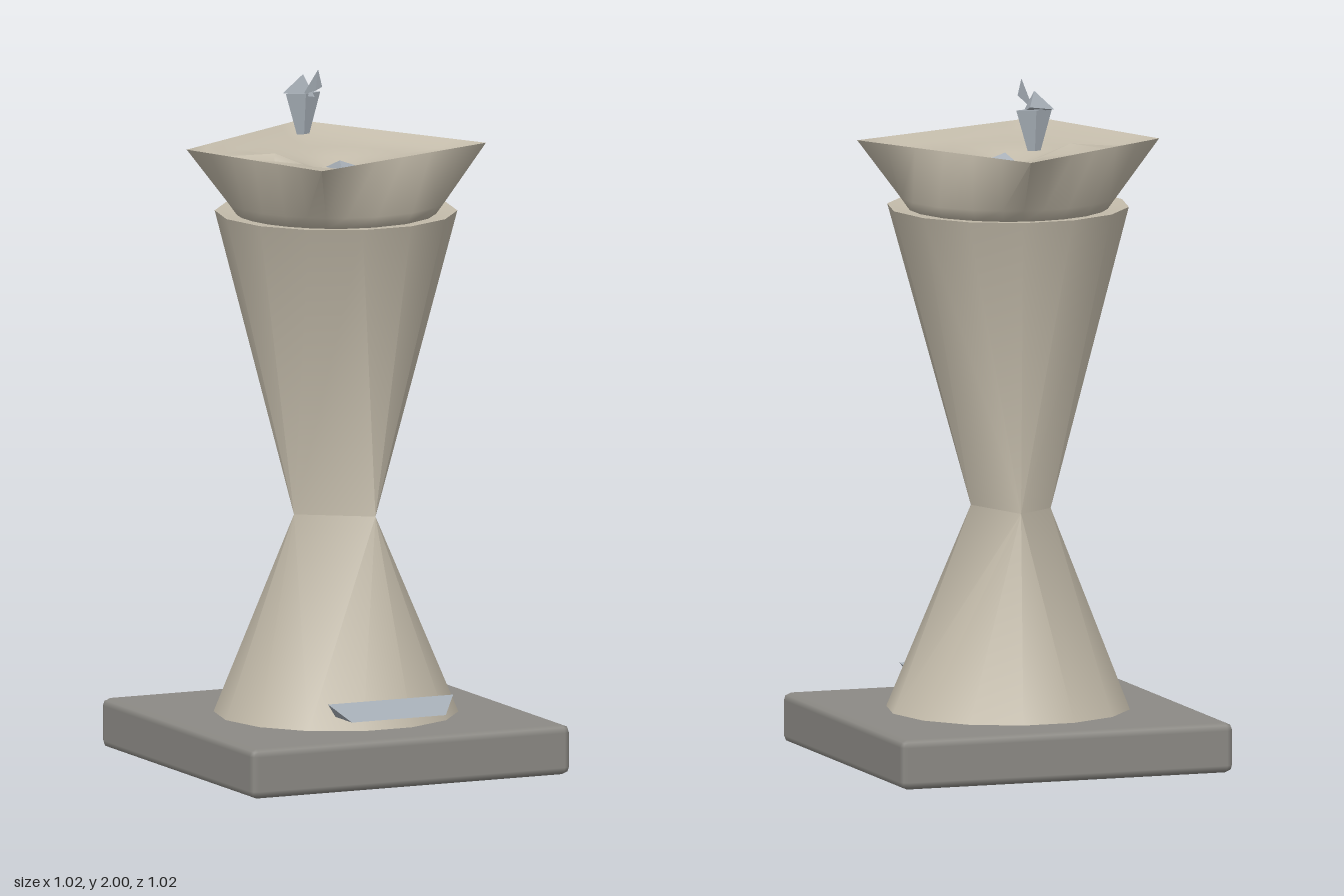
import * as THREE from 'three';
import { toCreasedNormals } from 'three/addons/utils/BufferGeometryUtils.js';
import { RoundedBoxGeometry } from 'three/addons/geometries/RoundedBoxGeometry.js';

const material = (color) => new THREE.MeshStandardMaterial({ color, side: THREE.DoubleSide });
const stone = material(0xc4bcab);
const slab = material(0x8c8a85);
const metal = material(0xa4acb4);
const v = (x, y, z) => new THREE.Vector3(x, y, z);

// Skin a stack of closed cross-sections, skipping collapsed triangles
function loft(rings, crease) {
  const n = rings[0].length;
  const pos = [];
  const tri = (a, b, c) => {
    const area = b.clone().sub(a).cross(c.clone().sub(a)).length();
    if (area > 1e-7) for (const p of [a, b, c]) pos.push(p.x, p.y, p.z);
  };
  for (let r = 0; r < rings.length - 1; r++) {
    for (let i = 0; i < n; i++) {
      const j = (i + 1) % n;
      const [a, b] = [rings[r], rings[r + 1]];
      tri(a[i], b[i], a[j]);
      tri(a[j], b[i], b[j]);
    }
  }
  const geo = new THREE.BufferGeometry();
  geo.setAttribute('position', new THREE.Float32BufferAttribute(pos, 3));
  return toCreasedNormals(geo, crease);
}

// Flat-faced solid or shard from corner points and faces
function shard(points, faces) {
  const geo = new THREE.BufferGeometry();
  geo.setAttribute('position', new THREE.Float32BufferAttribute(points.flat(), 3));
  geo.setIndex(faces.flat());
  const flat = geo.toNonIndexed();
  flat.computeVertexNormals();
  return flat;
}
const TETRA = [[0, 1, 2], [0, 3, 1], [1, 3, 2], [2, 3, 0]];

export function createModel() {
  const model = new THREE.Group();
  const add = (name, geo, mat) => {
    const mesh = new THREE.Mesh(geo, mat);
    mesh.name = name;
    model.add(mesh);
    return mesh;
  };

  // Square floor slab with softened edges
  add('base', new RoundedBoxGeometry(1.02, 0.145, 1.02, 1, 0.022), slab).position.y = 0.0725;

  // Hourglass pedestal: round ends pinched to a three-cornered waist
  const N = 14;
  const circle = (r, y) => Array.from({ length: N }, (_, i) => {
    const a = (i / N) * Math.PI * 2;
    return v(Math.cos(a) * r, y, Math.sin(a) * r);
  });
  const corners = [v(0.075, 0.725, 0.107), v(-0.12, 0.725, -0.03), v(0, 0.725, -0.11)];
  const waist = circle(1, 0).map((d) =>
    corners.reduce((best, c) => (c.dot(d) > best.dot(d) ? c : best)));
  add('pedestal', loft([circle(0.355, 0.14), waist, circle(0.35, 1.61),
    circle(0.335, 1.61), circle(0.3, 1.6), circle(0, 1.6)], 0.9), stone);

  // Basin: round underside flaring to a skewed square rim, then a shallow bowl
  const rimCorners = [v(0.41, 1.8, 0.145), v(-0.23, 1.8, 0.385), v(-0.42, 1.8, -0.12), v(0.09, 1.8, -0.44)];
  const rim = [];
  rimCorners.forEach((c, i) => {
    for (let k = 0; k < 6; k++) rim.push(c.clone().lerp(rimCorners[(i + 1) % 4], k / 6));
  });
  const round = (r, y) => rim.map((p) => {
    const d = Math.hypot(p.x, p.z);
    return v((p.x / d) * r, y, (p.z / d) * r);
  });
  const inset = (s, y) => rim.map((p) => v(p.x * s, y, p.z * s));
  const floor = round(0.19, 1.765);
  // Raised fold on one side of the bowl
  floor[12].set(-0.18, 1.785, -0.03);
  add('basin', loft([round(0, 1.605), round(0.29, 1.605), round(0.315, 1.64), rim,
    inset(0.86, 1.775), floor, round(0.1, 1.75), round(0.03, 1.725), round(0, 1.725)], 1.0), stone);

  // Drain plug at the bottom of the bowl
  add('drain', shard(
    [[-0.02, 1.735, -0.025], [0.055, 1.74, 0.03], [-0.01, 1.735, 0.065], [0, 1.76, 0.025]],
    [[0, 2, 1], [0, 1, 3], [1, 2, 3], [2, 0, 3]]), metal);

  // Tap: tapering body, forward spout and a small lever
  const tapBody = new THREE.CylinderGeometry(0.055, 0.02, 0.12, 4, 1);
  tapBody.scale(1, 1, 0.35);
  tapBody.translate(0, 1.86, -0.22);
  add('tapBody', toCreasedNormals(tapBody, 0.1), metal);
  add('tapSpout', shard(
    [[0, 1.915, -0.22], [0.01, 2.0, -0.14], [-0.015, 1.945, -0.105], [0.018, 1.95, -0.13]], TETRA), metal);
  add('tapLever', shard(
    [[-0.055, 1.92, -0.24], [0.02, 1.93, -0.24], [0.025, 1.91, -0.195], [0, 1.975, -0.22]], TETRA), metal);

  // Foot pedal: ridge longer than its underside
  add('footPedal', shard(
    [[-0.2, 0.235, 0.365], [0.2, 0.235, 0.365],
      [-0.15, 0.187, 0.42], [0.15, 0.187, 0.42],
      [-0.15, 0.187, 0.31], [0.15, 0.187, 0.31]],
    [[0, 2, 3], [0, 3, 1], [0, 1, 5], [0, 5, 4], [0, 4, 2], [1, 3, 5], [2, 4, 5], [2, 5, 3]]), metal);

  return model;
}
